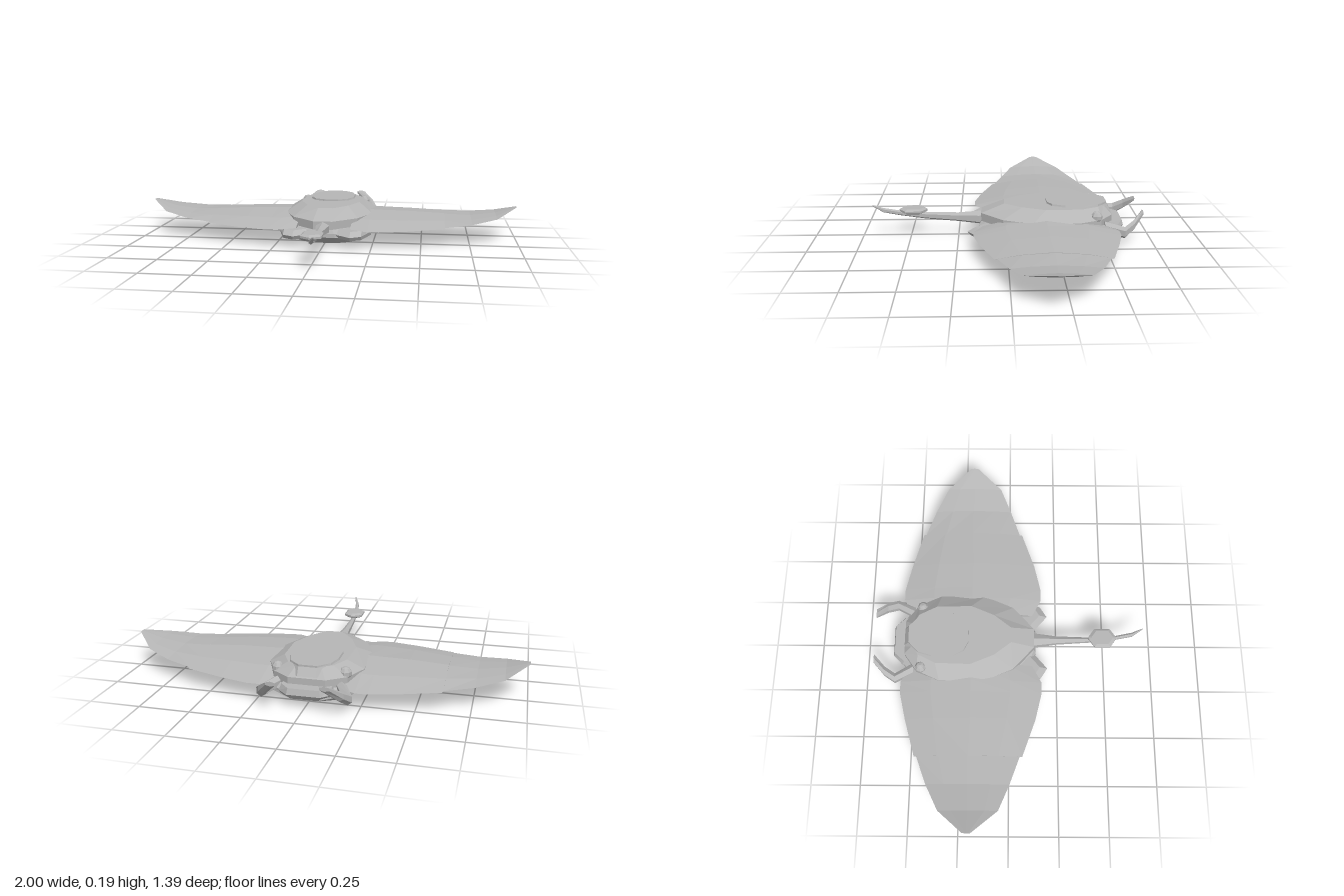
import * as THREE from 'three';

const grey = new THREE.MeshStandardMaterial({ color: 0xb6b6b6, flatShading: true });
grey.name = 'plain grey';

// Closed skin over a row of rings (equal point counts), turned to face outward
function loft(name, rings) {
  const tris = [];
  const n = rings[0].length;
  for (let i = 0; i < rings.length - 1; i++) {
    for (let j = 0; j < n; j++) {
      const k = (j + 1) % n, a = rings[i], b = rings[i + 1];
      tris.push([a[j], a[k], b[k]], [a[j], b[k], b[j]]);
    }
  }
  const cap = (ring, flip) => {
    const c = [0, 1, 2].map((d) => ring.reduce((s, p) => s + p[d], 0) / n);
    for (let j = 0; j < n; j++) {
      const k = (j + 1) % n;
      tris.push(flip ? [c, ring[k], ring[j]] : [c, ring[j], ring[k]]);
    }
  };
  cap(rings[0], true);
  cap(rings[rings.length - 1], false);
  const v = (p) => new THREE.Vector3(...p);
  const volume = tris.reduce((s, t) => s + v(t[0]).dot(v(t[1]).cross(v(t[2]))), 0);
  const data = tris.flatMap((t) => (volume < 0 ? [t[0], t[2], t[1]] : t)).flat();
  const geo = new THREE.BufferGeometry();
  geo.setAttribute('position', new THREE.Float32BufferAttribute(data, 3));
  geo.computeVertexNormals();
  const mesh = new THREE.Mesh(geo, grey);
  mesh.name = name;
  return mesh;
}

// Horizontal ring from half an outline [x, z], mirrored in x
const level = (y, half) => [
  ...half.map(([x, z]) => [x, y, z]),
  ...[...half].reverse().map(([x, z]) => [-x, y, z]),
];

// Cross-section around a point along z: half width w, half height h
const section = ([x, y, z, w, h], sides = 6) => Array.from({ length: sides }, (_, i) => {
  const a = ((i + 0.5) / sides) * Math.PI * 2;
  return [x + Math.cos(a) * w, y + Math.sin(a) * h, z];
});

// Wing panel from stations [x, zFront, zRear, yEdge, yTop, yBottom]
const wingPanel = (name, s, stations) => loft(name, stations.map(([x, f, r, e, t, b]) => {
  const at = (u) => f + (r - f) * u;
  const mix = (y, k) => e + (y - e) * k;
  return [
    [s * x, e, f], [s * x, mix(t, 0.65), at(0.22)], [s * x, t, at(0.5)], [s * x, mix(t, 0.65), at(0.78)],
    [s * x, e, r], [s * x, mix(b, 0.8), at(0.78)], [s * x, b, at(0.5)], [s * x, mix(b, 0.8), at(0.22)],
  ];
}));

export function createModel() {
  const model = new THREE.Group();
  model.name = 'rayCraft';

  // Faceted hull with sloping underside and domed back
  const waist = [[0.05, 0.13], [0.17, 0.02], [0.235, -0.13], [0.235, -0.36], [0.18, -0.48], [0.09, -0.545]];
  model.add(loft('hull', [
    level(0, [[0.06, 0.04], [0.13, 0], [0.185, -0.12], [0.185, -0.34], [0.13, -0.45], [0.05, -0.49]]),
    level(0.05, [[0.06, 0.14], [0.18, 0.09], [0.262, -0.08], [0.262, -0.36], [0.2, -0.5], [0.08, -0.59]]),
    level(0.07, [[0.06, 0.14], [0.18, 0.08], [0.262, -0.08], [0.262, -0.36], [0.2, -0.5], [0.08, -0.585]]),
    level(0.09, waist),
    level(0.132, waist),
    level(0.18, [[0.04, 0.01], [0.11, -0.08], [0.16, -0.2], [0.155, -0.38], [0.11, -0.47], [0.06, -0.5]]),
  ]));

  // Raised plate on the back
  const plate = [[0.04, -0.21], [0.09, -0.235], [0.12, -0.3], [0.12, -0.4], [0.1, -0.47], [0.045, -0.52]];
  model.add(loft('topPlate', [
    level(0.14, plate.map(([x, z]) => [x, z < -0.45 ? z - 0.025 : z])),
    level(0.18, plate),
    level(0.189, plate.map(([x, z]) => [x * 0.97, z])),
  ]));

  // Blunt mouth
  model.add(loft('mouth', [
    level(0.045, [[0.12, -0.48], [0.12, -0.55], [0.065, -0.59]]),
    level(0.07, [[0.13, -0.48], [0.13, -0.56], [0.08, -0.608]]),
    level(0.1, [[0.12, -0.48], [0.12, -0.55], [0.075, -0.6]]),
  ]));

  for (const s of [1, -1]) {
    const side = s > 0 ? 'left' : 'right';

    // Wing in two panels, with a small step at the joint
    model.add(wingPanel(side + 'InnerWing', s, [
      [0.14, -0.515, 0.12, 0.092, 0.142, 0.068],
      [0.23, -0.563, 0.168, 0.09, 0.142, 0.07],
      [0.29, -0.563, 0.168, 0.09, 0.14, 0.071],
      [0.43, -0.53, 0.135, 0.092, 0.138, 0.076],
      [0.62, -0.475, 0.068, 0.097, 0.129, 0.087],
    ]));
    model.add(wingPanel(side + 'OuterWing', s, [
      [0.62, -0.463, 0.055, 0.099, 0.126, 0.09],
      [0.76, -0.41, 0.005, 0.108, 0.122, 0.1],
      [0.89, -0.345, -0.05, 0.13, 0.14, 0.121],
      [1.0, -0.22, -0.18, 0.173, 0.175, 0.171],
    ]));

    // Curved horn, flat at its end
    model.add(loft(side + 'Horn', [
      [s * 0.155, 0.085, -0.5, 0.03, 0.03], [s * 0.205, 0.072, -0.595, 0.026, 0.03],
      [s * 0.178, 0.105, -0.645, 0.026, 0.026], [s * 0.125, 0.154, -0.697, 0.026, 0.012],
    ].map((p) => section(p))));

    // Eye: faceted ball
    const eye = new THREE.Mesh(new THREE.SphereGeometry(0.031, 8, 5), grey);
    eye.name = side + 'Eye';
    eye.position.set(s * 0.165, 0.142, -0.456);
    model.add(eye);

    // Rear fin lobe beside the tail
    const lobe = [[0.2, 0.165], [0.145, 0.2], [0.07, 0.135], [0.08, 0.03], [0.24, 0.03]];
    model.add(loft(side + 'RearLobe', [
      lobe.map(([x, z]) => [s * x, 0.045, z - 0.015]),
      lobe.map(([x, z]) => [s * x, 0.065, z]),
      lobe.map(([x, z]) => [s * x, 0.088, z - 0.04]),
    ]));
  }

  // Tapering tail with a bent tip
  model.add(loft('tail', [
    [0, 0.1, 0.03, 0.05, 0.04], [0, 0.094, 0.14, 0.038, 0.035], [0, 0.097, 0.25, 0.022, 0.024],
    [0, 0.106, 0.42, 0.013, 0.018], [0.006, 0.122, 0.55, 0.01, 0.013],
    [0.018, 0.142, 0.64, 0.011, 0.012], [0.038, 0.173, 0.692, 0.003, 0.004],
  ].map((p) => section(p))));

  // Hexagonal pod on the tail
  const pod = (y, k) => level(y, [[0.005, -0.072], [0.05, -0.04], [0.05, 0.04], [0.005, 0.072]]
    .map(([x, z]) => [x * k, 0.485 + z * k]));
  model.add(loft('tailPod', [pod(0.123, 0.75), pod(0.132, 1), pod(0.142, 1), pod(0.15, 0.75)]));

  return model;
}
